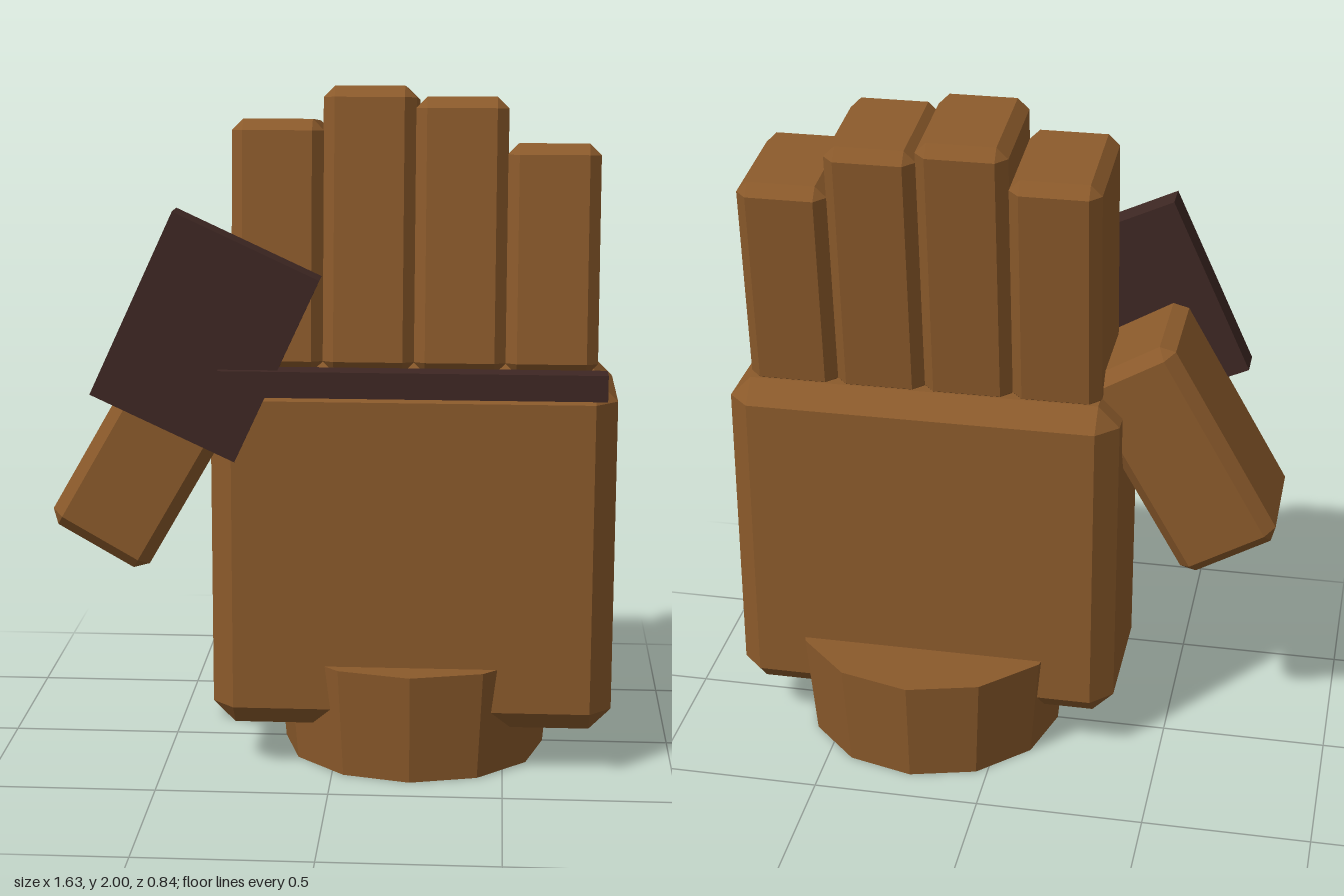
import * as THREE from 'three';
import { ConvexGeometry } from 'three/addons/geometries/ConvexGeometry.js';

// Box with flat bevels of size c on every edge
function chamferBox(w, h, d, c) {
  const half = [w / 2, h / 2, d / 2];
  const points = [];
  for (let axis = 0; axis < 3; axis++)
    for (const sx of [-1, 1]) for (const sy of [-1, 1]) for (const sz of [-1, 1]) {
      const s = [sx, sy, sz];
      points.push(new THREE.Vector3(...half.map((v, i) => s[i] * (i === axis ? v : v - c))));
    }
  return new ConvexGeometry(points);
}

export function createModel() {
  const group = new THREE.Group();
  const leather = new THREE.MeshStandardMaterial({ color: 0x8b5a2b });
  leather.name = 'brown leather';
  leather.flatShading = true;
  const dark = new THREE.MeshStandardMaterial({ color: 0x3e2723 });
  dark.name = 'dark leather';

  const add = (name, geometry, material, x, y, z) => {
    const mesh = new THREE.Mesh(geometry, material);
    mesh.name = name;
    mesh.position.set(x, y, z);
    group.add(mesh);
    return mesh;
  };

  // Palm and flared wrist cuff
  add('palm', chamferBox(1.17, 1.047, 0.518, 0.064), leather, 0.23, 0.655, 0.066);
  add('cuff', new THREE.CylinderGeometry(0.422, 0.392, 0.327, 12), leather, 0.23, 0.1635, 0);

  // Four fingers leaning slightly back, sharing one base line
  const tilt = 0.1;
  [0.725, 0.82, 0.79, 0.66].forEach((length, i) => {
    const finger = add(`finger${i + 1}`, chamferBox(0.265, length, 0.388, 0.033), leather,
      -0.164 + i * 0.2627,
      1.167 + Math.cos(tilt) * length / 2,
      0.072 - Math.sin(tilt) * length / 2);
    finger.rotation.x = -tilt;
  });

  // Thumb angled out to the side
  const thumb = add('thumb', chamferBox(0.323, 0.7, 0.39, 0.035), leather, -0.518, 0.973, 0.126);
  thumb.rotation.z = -Math.PI / 6;

  // Dark webbing pad and knuckle strap
  const pad = add('webbing', new THREE.BoxGeometry(0.455, 0.579, 0.093), dark, -0.36, 1.304, 0.326);
  pad.rotation.z = -0.435;
  add('knuckleStrap', new THREE.BoxGeometry(1.1, 0.075, 0.078), dark, 0.23, 1.177, 0.357);

  return group;
}
